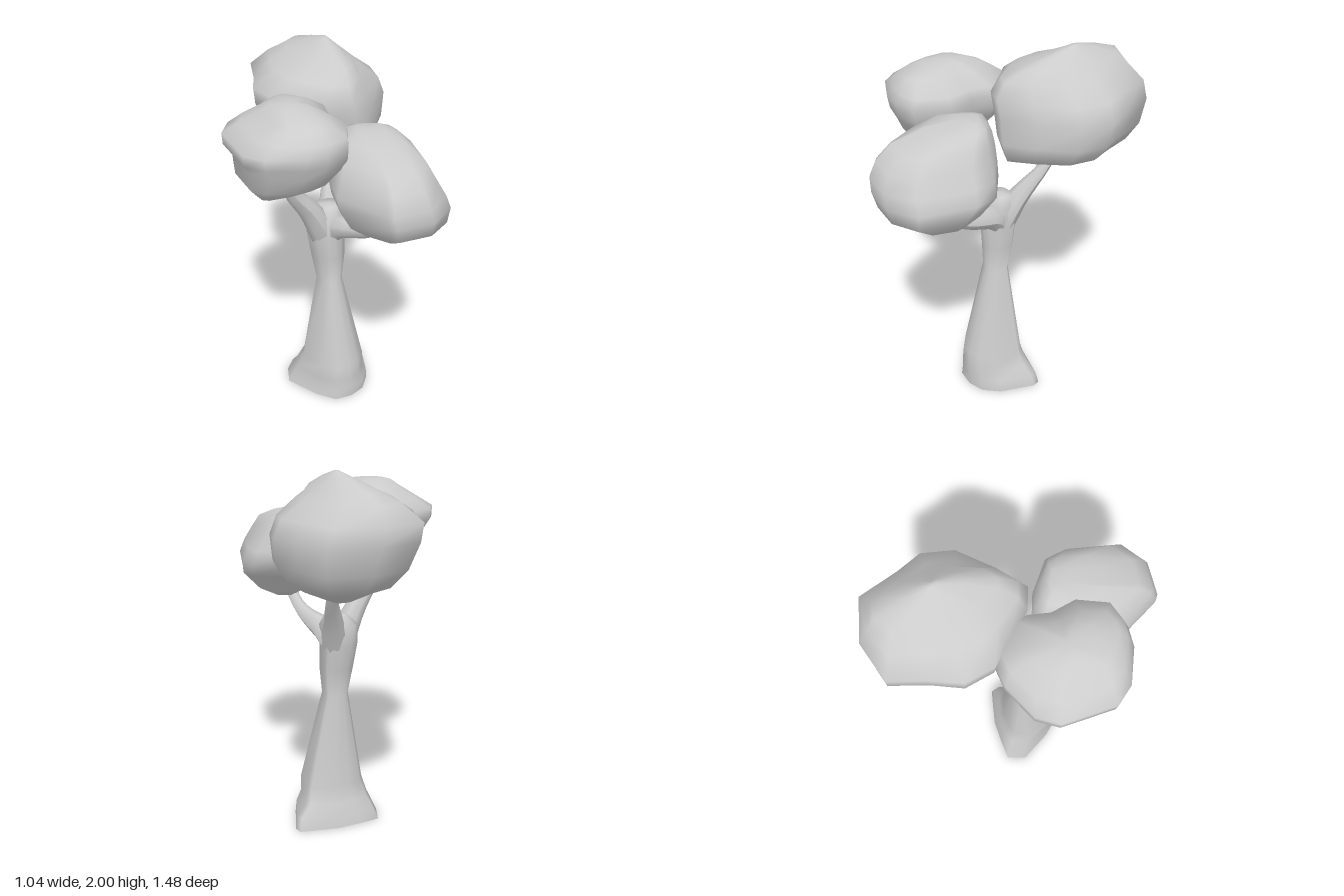
import * as THREE from 'three';

const material = new THREE.MeshStandardMaterial({ color: 0xcccccc, roughness: 0.9 });

// Loft a plan outline [x, z] through rings [y, xMin, xMax, zMin, zMax, roundness],
// closed at both ends. Roundness 1 turns the outline into an ellipse.
function loft(name, outline, rings) {
  const box = new THREE.Box2().setFromPoints(outline.map(([x, z]) => new THREE.Vector2(x, z)));
  const size = box.getSize(new THREE.Vector2()), mid = box.getCenter(new THREE.Vector2());
  const unit = outline.map(([x, z]) => new THREE.Vector2(x, z).sub(mid).divide(size).multiplyScalar(2));
  const n = unit.length, pos = [], idx = [];
  for (const [y, x0, x1, z0, z1, round = 0] of rings) {
    for (const u of unit) {
      const p = u.clone().lerp(u.clone().normalize(), round);
      pos.push((x0 + x1) / 2 + p.x * (x1 - x0) / 2, y, (z0 + z1) / 2 + p.y * (z1 - z0) / 2);
    }
  }
  for (let i = 0; i < rings.length - 1; i++) {
    for (let j = 0; j < n; j++) {
      const a = i * n + j, b = i * n + (j + 1) % n;
      idx.push(a, a + n, b, b, a + n, b + n);
    }
  }
  const cap = (start, [y, x0, x1, z0, z1], top) => {
    const c = pos.length / 3;
    pos.push((x0 + x1) / 2, y, (z0 + z1) / 2);
    for (let j = 0; j < n; j++) {
      const a = start + j, b = start + (j + 1) % n;
      if (top) idx.push(c, b, a); else idx.push(c, a, b);
    }
  };
  cap(0, rings[0], false);
  cap((rings.length - 1) * n, rings[rings.length - 1], true);
  const geo = new THREE.BufferGeometry();
  geo.setAttribute('position', new THREE.Float32BufferAttribute(pos, 3));
  geo.setIndex(idx);
  geo.computeVertexNormals();
  const mesh = new THREE.Mesh(geo, material);
  mesh.name = name;
  return mesh;
}

// Tapering tube through points [x, y, z, radius].
function branch(name, points) {
  const curve = new THREE.CatmullRomCurve3(points.map(p => new THREE.Vector3(p[0], p[1], p[2])));
  const steps = 10, sides = 8;
  const geo = new THREE.TubeGeometry(curve, steps, 1, sides);
  const pos = geo.attributes.position, v = new THREE.Vector3();
  for (let i = 0; i <= steps; i++) {
    const centre = curve.getPointAt(i / steps);
    const t = curve.getUtoTmapping(i / steps) * (points.length - 1);
    const k = Math.min(Math.floor(t), points.length - 2);
    const r = THREE.MathUtils.lerp(points[k][3], points[k + 1][3], t - k);
    for (let j = 0; j <= sides; j++) {
      const q = i * (sides + 1) + j;
      v.fromBufferAttribute(pos, q).sub(centre).multiplyScalar(r).add(centre);
      pos.setXYZ(q, v.x, v.y, v.z);
    }
  }
  geo.computeVertexNormals();
  const mesh = new THREE.Mesh(geo, material);
  mesh.name = name;
  return mesh;
}

export function createModel() {
  const tree = new THREE.Group();
  tree.name = 'tree';

  // Trunk, flared into roots; the doubled first ring keeps the base edge sharp
  const rootPlan = [[-0.18, -0.05], [-0.14, -0.155], [-0.02, -0.16], [0.11, -0.16], [0.24, -0.13], [0.32, -0.11],
    [0.33, -0.07], [0.26, 0.12], [0.19, 0.2], [0.1, 0.23], [0, 0.22], [-0.08, 0.13]];
  const base = [0, -0.18, 0.33, -0.16, 0.23];
  tree.add(loft('trunk', rootPlan, [
    base, base,
    [0.07, -0.15, 0.315, -0.145, 0.23],
    [0.13, -0.13, 0.265, -0.125, 0.225, 0.3],
    [0.22, -0.11, 0.25, -0.1, 0.22, 0.6],
    [0.75, -0.02, 0.125, -0.05, 0.085, 1],
    [0.9, -0.045, 0.145, -0.075, 0.085, 1],
    [1.04, -0.065, 0.145, -0.1, 0.09, 1],
    [1.15, -0.06, 0.15, -0.11, 0.08, 1],
    [1.21, 0, 0.12, -0.06, 0.04, 1],
  ]));

  // Three branches forking from inside the trunk top
  tree.add(branch('rightBranch', [[0.04, 0.92, 0, 0.05], [0.0, 1.08, 0.01, 0.075], [-0.08, 1.23, 0.025, 0.058],
    [-0.18, 1.36, 0.045, 0.04], [-0.24, 1.54, 0.06, 0.03]]));
  tree.add(branch('backBranch', [[0.06, 0.92, 0, 0.05], [0.08, 1.08, -0.04, 0.07], [0.12, 1.22, -0.12, 0.05],
    [0.16, 1.33, -0.2, 0.032], [0.18, 1.48, -0.29, 0.03]]));
  tree.add(branch('frontBranch', [[0.06, 0.97, -0.01, 0.05], [0.08, 1.09, 0.05, 0.075], [0.12, 1.135, 0.18, 0.05],
    [0.145, 1.185, 0.3, 0.035], [0.16, 1.31, 0.45, 0.03]]));

  // Foliage clumps
  tree.add(loft('backFoliage', [[-0.08, -0.68], [0.15, -0.74], [0.39, -0.68], [0.46, -0.48], [0.52, -0.35], [0.48, -0.19],
    [0.32, -0.04], [0.17, 0.07], [0.05, 0.03], [-0.1, -0.12], [-0.18, -0.2], [-0.21, -0.35], [-0.14, -0.5]], [
    [1.37, 0.12, 0.22, -0.38, -0.31],
    [1.43, 0.0, 0.36, -0.5, -0.14],
    [1.48, -0.05, 0.44, -0.65, 0.05],
    [1.57, -0.14, 0.5, -0.71, 0.07],
    [1.7, -0.2, 0.52, -0.74, 0.07],
    [1.79, -0.21, 0.48, -0.74, 0.075],
    [1.87, -0.09, 0.37, -0.69, 0.03, 0.4],
    [1.92, 0.03, 0.31, -0.64, -0.06, 0.8],
    [1.97, 0.13, 0.25, -0.48, -0.21, 1],
    [2.0, 0.185, 0.215, -0.37, -0.33, 1],
  ]));

  tree.add(loft('rightFoliage', [[-0.52, 0], [-0.45, -0.1], [-0.27, -0.18], [-0.15, -0.19], [0, -0.06], [0.02, 0],
    [-0.01, 0.12], [0.02, 0.26], [-0.06, 0.42], [-0.18, 0.45], [-0.28, 0.44], [-0.45, 0.36], [-0.52, 0.27]], [
    [1.43, -0.39, -0.32, 0.08, 0.18],
    [1.48, -0.43, -0.2, -0.03, 0.27],
    [1.54, -0.475, -0.08, -0.1, 0.36],
    [1.63, -0.475, -0.01, -0.16, 0.41],
    [1.69, -0.515, 0.02, -0.19, 0.44],
    [1.75, -0.52, 0.02, -0.19, 0.45],
    [1.8, -0.44, 0.01, -0.15, 0.43],
    [1.86, -0.35, -0.08, -0.06, 0.38],
    [1.89, -0.31, -0.14, 0.02, 0.26],
    [1.9, -0.26, -0.19, 0.1, 0.17],
  ]));

  tree.add(loft('frontFoliage', [[0.02, 0.1], [0.09, 0.06], [0.25, 0.12], [0.42, 0.25], [0.44, 0.37], [0.37, 0.65],
    [0.22, 0.74], [0.03, 0.72], [0, 0.7], [-0.13, 0.45], [-0.08, 0.26]], [
    [1.24, 0.13, 0.25, 0.34, 0.46],
    [1.275, 0.03, 0.33, 0.3, 0.58],
    [1.37, -0.08, 0.42, 0.2, 0.72],
    [1.45, -0.12, 0.44, 0.08, 0.74],
    [1.52, -0.13, 0.41, 0.07, 0.735],
    [1.6, -0.1, 0.36, 0.07, 0.7],
    [1.67, -0.07, 0.33, 0.09, 0.62],
    [1.72, -0.01, 0.28, 0.13, 0.45],
    [1.74, 0.07, 0.22, 0.18, 0.32],
  ]));

  return tree;
}
